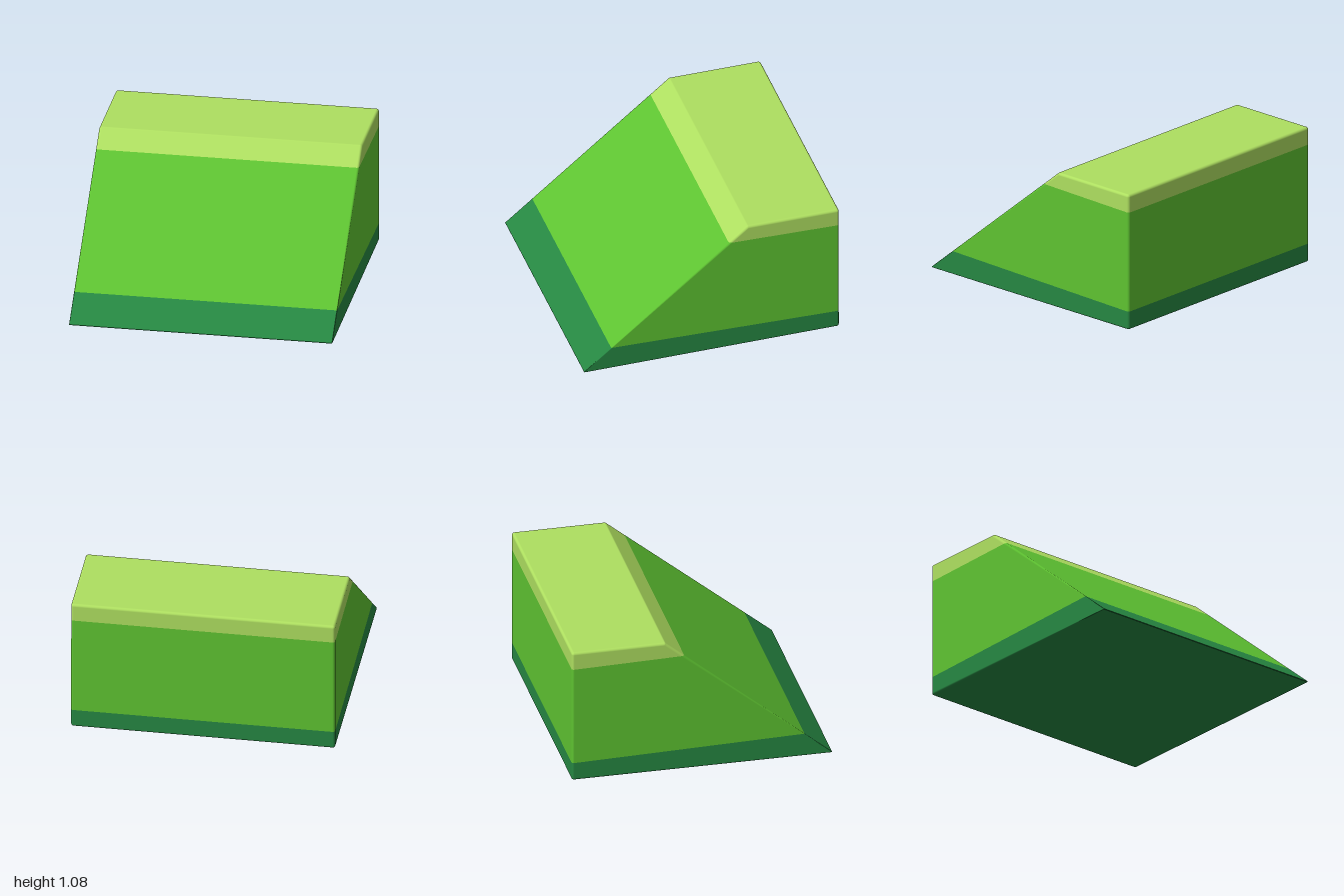
import * as THREE from 'three';

// Side profile as [z, y, edge radius], from the front toe over the top to the back
const PROFILE = [
  [1.005, 0, 0.004],
  [-0.283, 1.075, 0.02],
  [-1, 1.075, 0.02],
  [-1, 0, 0.018],
];
const ARC_STEPS = 5;
const SIDE_STEPS = 6;

// Slightly tilted planes between colour bands: height = base + slope * z
const LOWER_CUT = { base: 0.166, slope: 0.0207 };
const UPPER_CUT = { base: 0.955, slope: 0.02 };

// Rounded outline: each point keeps its arc centre, radius and outward direction
function roundedOutline() {
  const n = PROFILE.length;
  const edgeNormals = PROFILE.map(([z, y], i) => {
    const [z2, y2] = PROFILE[(i + 1) % n];
    return new THREE.Vector2(y2 - y, z - z2).normalize();
  });
  const points = [];
  PROFILE.forEach(([z, y, r], i) => {
    const a = edgeNormals[(i + n - 1) % n];
    const b = edgeNormals[i];
    const inset = r / (1 + a.dot(b));
    const centre = [z - (a.x + b.x) * inset, y - (a.y + b.y) * inset];
    const start = a.angle();
    const turn = (b.angle() - start + Math.PI * 2) % (Math.PI * 2);
    for (let k = 0; k <= ARC_STEPS; k++) {
      const t = start + (turn * k) / ARC_STEPS;
      points.push({ centre, r, dir: [Math.cos(t), Math.sin(t)] });
    }
  });
  return points;
}

// Whole block as triangles; each vertex is [x, y, z, nx, ny, nz]
function blockTriangles() {
  const outline = roundedOutline();
  const rings = [];
  for (const side of [-1, 1]) {
    for (let j = 0; j <= SIDE_STEPS; j++) {
      const phi = (Math.PI / 2) * (side < 0 ? j / SIDE_STEPS - 1 : j / SIDE_STEPS);
      const s = Math.sin(phi), c = Math.cos(phi);
      rings.push(outline.map(({ centre, r, dir }) => [
        side * (1 - r) + r * s,
        centre[1] + r * c * dir[1],
        centre[0] + r * c * dir[0],
        s, c * dir[1], c * dir[0],
      ]));
    }
  }
  const tris = [];
  const count = outline.length;
  for (let j = 0; j < rings.length - 1; j++) {
    for (let i = 0; i < count; i++) {
      const k = (i + 1) % count;
      tris.push([rings[j][i], rings[j + 1][i], rings[j + 1][k]]);
      tris.push([rings[j][i], rings[j + 1][k], rings[j][k]]);
    }
  }
  // Flat side faces
  const first = rings[0], last = rings[rings.length - 1];
  const step = ARC_STEPS + 1;
  for (let i = 1; i < PROFILE.length - 1; i++) {
    tris.push([first[0], first[i * step], first[(i + 1) * step]]);
    tris.push([last[0], last[(i + 1) * step], last[i * step]]);
  }
  return tris;
}

// Keep the part of a polygon above (sign 1) or below (sign -1) a cut
function clip(poly, cut, sign) {
  const height = (v) => sign * (v[1] - cut.base - cut.slope * v[2]);
  const out = [];
  poly.forEach((a, i) => {
    const b = poly[(i + 1) % poly.length];
    const ha = height(a), hb = height(b);
    if (ha >= 0) out.push(a);
    if (ha >= 0 !== hb >= 0) {
      const t = ha / (ha - hb);
      out.push(a.map((v, c) => v + (b[c] - v) * t));
    }
  });
  return out;
}

function bandGeometry(tris, cuts) {
  const positions = [], normals = [];
  for (const tri of tris) {
    const poly = cuts.reduce((p, [cut, sign]) => clip(p, cut, sign), tri);
    for (let i = 1; i < poly.length - 1; i++) {
      for (const v of [poly[0], poly[i], poly[i + 1]]) {
        positions.push(v[0], v[1], v[2]);
        normals.push(v[3], v[4], v[5]);
      }
    }
  }
  const geometry = new THREE.BufferGeometry();
  geometry.setAttribute('position', new THREE.Float32BufferAttribute(positions, 3));
  geometry.setAttribute('normal', new THREE.Float32BufferAttribute(normals, 3));
  geometry.normalizeNormals();
  return geometry;
}

export function createModel() {
  const group = new THREE.Group();
  group.name = 'slopedBlock';
  const tris = blockTriangles();
  const bands = [
    ['baseBand', 'dark green', 0x268742, [[LOWER_CUT, -1]]],
    ['middleBand', 'grass green', 0x5ec331, [[LOWER_CUT, 1], [UPPER_CUT, -1]]],
    ['topBand', 'light green', 0xaedf60, [[UPPER_CUT, 1]]],
  ];
  for (const [name, colourName, color, cuts] of bands) {
    const material = new THREE.MeshStandardMaterial({ color });
    material.name = colourName;
    const mesh = new THREE.Mesh(bandGeometry(tris, cuts), material);
    mesh.name = name;
    group.add(mesh);
  }
  return group;
}
